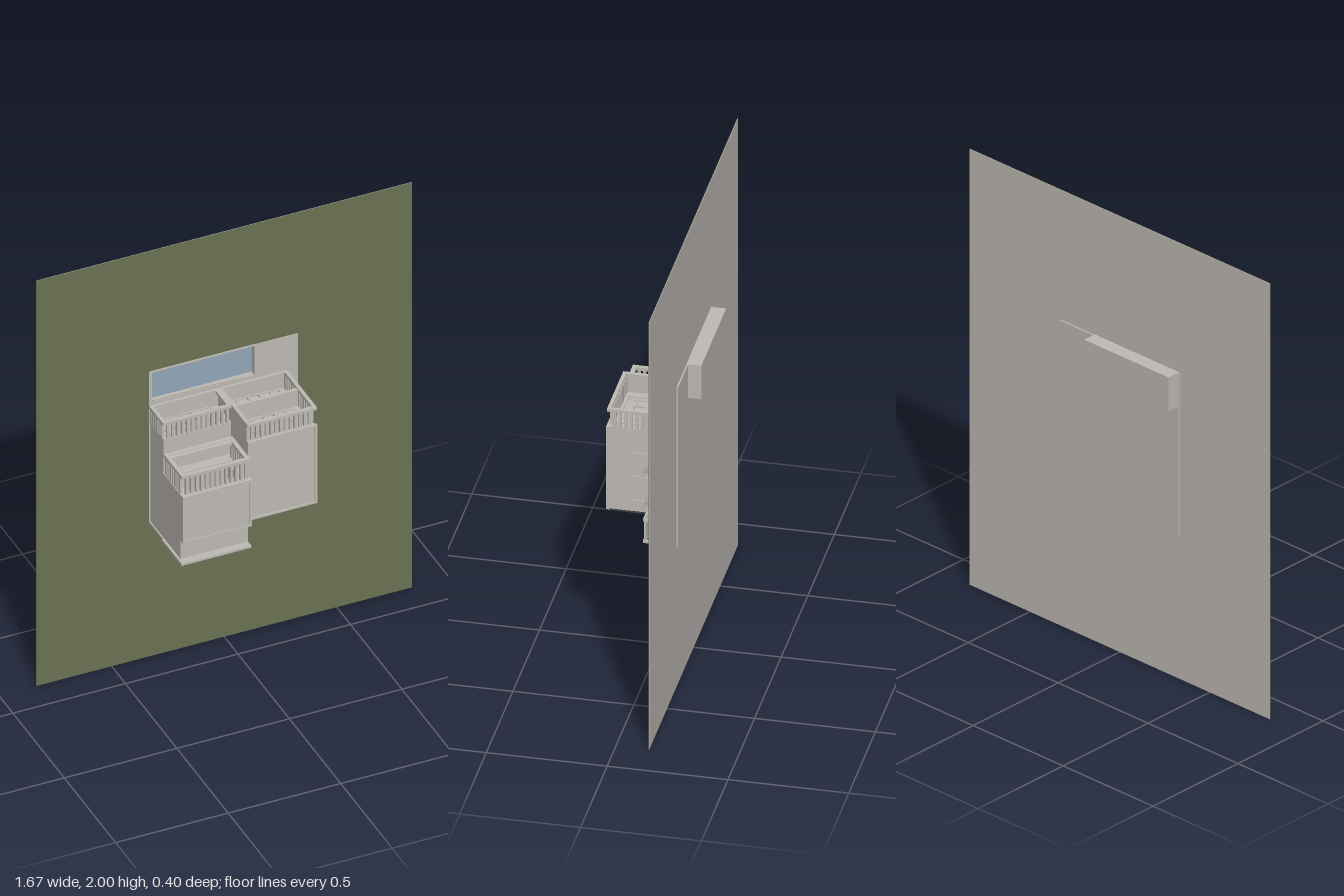
import * as THREE from 'three';

const plaster = new THREE.MeshStandardMaterial({ name: 'warm grey plaster', color: 0xbfbab5 });
const grass = new THREE.MeshStandardMaterial({ name: 'olive grass', color: 0x6c7354 });
const water = new THREE.MeshStandardMaterial({ name: 'pool water', color: 0x93a7b8 });
const foliage = new THREE.MeshStandardMaterial({ name: 'grey foliage', color: 0xbab6b1, side: THREE.DoubleSide });

export function createModel() {
  const root = new THREE.Group();
  const group = (name) => {
    const g = new THREE.Group();
    g.name = name;
    root.add(g);
    return g;
  };
  // Box given by its limits on each axis
  const box = (parent, name, x0, x1, y0, y1, z0, z1, mat = plaster) => {
    const m = new THREE.Mesh(new THREE.BoxGeometry(x1 - x0, y1 - y0, z1 - z0), mat);
    m.position.set((x0 + x1) / 2, (y0 + y1) / 2, (z0 + z1) / 2);
    m.name = name;
    parent.add(m);
  };
  // Rectangular ring in the x-z plane, running from y0 to y1
  const ring = (parent, name, x0, x1, y0, y1, z0, z1, t) => {
    box(parent, name, x0, x0 + t, y0, y1, z0, z1);
    box(parent, name, x1 - t, x1, y0, y1, z0, z1);
    box(parent, name, x0 + t, x1 - t, y0, y1, z0, z0 + t);
    box(parent, name, x0 + t, x1 - t, y0, y1, z1 - t, z1);
  };
  // Row of slats along x (at depth z) or along z (at a given x)
  const slatsX = (parent, x0, x1, y0, y1, z, n) => {
    for (let i = 0; i < n; i++) {
      const x = x0 + (x1 - x0) * (i + 0.5) / n;
      box(parent, 'slat', x - 0.006, x + 0.006, y0, y1, z - 0.006, z + 0.006);
    }
  };
  const slatsZ = (parent, x, y0, y1, z0, z1, n) => {
    for (let i = 0; i < n; i++) {
      const z = z0 + (z1 - z0) * (i + 0.5) / n;
      box(parent, 'slat', x - 0.006, x + 0.006, y0, y1, z - 0.006, z + 0.006);
    }
  };
  // Flat sheet in the x-y plane with a rectangular hole for the pool
  const rect = (S, x0, x1, y0, y1) => {
    const s = new S();
    s.moveTo(x0, y0); s.lineTo(x1, y0); s.lineTo(x1, y1); s.lineTo(x0, y1); s.closePath();
    return s;
  };
  const sheet = (name, x0, x1, y0, y1, z0, depth, mat, hole) => {
    const s = rect(THREE.Shape, x0, x1, y0, y1);
    s.holes.push(rect(THREE.Path, ...hole));
    const m = new THREE.Mesh(new THREE.ExtrudeGeometry(s, { depth, bevelEnabled: false }), mat);
    m.position.z = z0;
    m.name = name;
    root.add(m);
  };

  // Ground: grass in front, plain behind
  const pit = [-0.322, 0.132, 1.258, 1.4];
  sheet('groundBack', -0.835, 0.835, 0, 2, -0.138, 0.002, plaster, pit);
  sheet('groundGrass', -0.835, 0.835, 0, 2, -0.136, 0.002, grass, pit);
  sheet('foundationSlab', -0.335, 0.325, 0.66, 1.405, -0.145, 0.015, plaster, pit);

  // Pool
  const pool = group('pool');
  box(pool, 'poolBasin', -0.33, 0.138, 1.25, 1.407, -0.2, -0.165);
  box(pool, 'poolWall', -0.33, -0.322, 1.25, 1.407, -0.165, -0.129);
  box(pool, 'poolWall', 0.132, 0.138, 1.25, 1.407, -0.165, -0.129);
  box(pool, 'poolWall', -0.322, 0.132, 1.25, 1.258, -0.165, -0.129);
  box(pool, 'poolWall', -0.322, 0.132, 1.4, 1.407, -0.165, -0.129);
  box(pool, 'waterSurface', -0.322, 0.132, 1.258, 1.4, -0.161, -0.155, water);

  // Right-hand block with its slatted loggia
  const east = group('tallBlock');
  box(east, 'blockBody', -0.03, 0.27, 0.77, 1.155, -0.135, 0.157);
  box(east, 'roofEdge', -0.03, 0.278, 1.148, 1.156, 0.15, 0.164);
  box(east, 'roofEdge', -0.03, 0.278, 0.77, 0.778, 0.15, 0.164);
  box(east, 'roofEdge', -0.03, -0.022, 0.778, 1.148, 0.15, 0.164);
  box(east, 'roofEdge', 0.268, 0.278, 0.778, 1.148, 0.15, 0.164);
  box(east, 'partitionWall', -0.03, -0.015, 1.155, 1.235, -0.135, 0.15);
  ring(east, 'loggiaRim', -0.03, 0.278, 1.227, 1.24, -0.135, 0.16, 0.016);
  box(east, 'loggiaFloor', -0.015, 0.265, 1.155, 1.235, -0.005, 0.01);
  slatsX(east, -0.015, 0.262, 1.155, 1.23, 0.145, 13);
  slatsZ(east, 0.268, 1.155, 1.23, -0.13, 0.14, 12);

  // Left-hand block, lower storey
  const west = group('lowBlock');
  box(west, 'lowerStorey', -0.33, -0.03, 0.77, 1.155, -0.135, 0);
  ring(west, 'porchRim', -0.335, -0.03, 1.227, 1.24, -0.135, 0.005, 0.016);
  slatsX(west, -0.32, -0.035, 1.155, 1.23, -0.006, 13);
  slatsZ(west, -0.327, 1.155, 1.23, -0.13, -0.01, 6);

  // Left-hand block, open upper storey
  box(west, 'upperRoof', -0.32, -0.045, 0.77, 0.995, 0.15, 0.195);
  box(west, 'upperFloor', -0.33, -0.03, 0.77, 1.0, 0, 0.045);
  box(west, 'upperWall', -0.335, -0.3, 0.77, 0.995, 0, 0.195);
  box(west, 'upperWall', -0.065, -0.03, 0.77, 0.995, 0, 0.195);
  box(west, 'roofEdge', -0.335, -0.028, 0.987, 0.997, 0.185, 0.2);
  box(west, 'roofEdge', -0.335, -0.028, 0.768, 0.777, 0.185, 0.2);
  box(west, 'roofEdge', -0.335, -0.326, 0.777, 0.987, 0.185, 0.2);
  box(west, 'roofEdge', -0.037, -0.028, 0.777, 0.987, 0.185, 0.2);
  ring(west, 'terraceRim', -0.335, -0.03, 1.078, 1.092, 0.01, 0.187, 0.018);
  box(west, 'terraceBeam', -0.33, -0.035, 1.075, 1.09, 0.01, 0.048);
  slatsX(west, -0.32, -0.035, 0.995, 1.08, 0.178, 13);
  slatsZ(west, -0.327, 0.995, 1.08, 0.015, 0.17, 7);
  slatsZ(west, -0.038, 0.995, 1.08, 0.015, 0.17, 7);

  // Rear loggias
  const rear = group('rearLoggias');
  ring(rear, 'rearUpperRim', -0.34, -0.03, 0.66, 0.67, 0.005, 0.197, 0.035);
  box(rear, 'rearCanopy', -0.33, -0.03, 0.67, 0.77, 0.148, 0.163);
  box(rear, 'rearSideWall', -0.33, -0.31, 0.67, 0.77, 0, 0.15);
  for (const z of [0, 0.14]) box(rear, 'sideWindowFrame', -0.045, -0.03, 0.67, 0.77, z, z + (z ? 0.01 : 0.05));
  box(rear, 'rearLowerSlab', -0.33, 0.28, 0.665, 0.77, -0.015, 0);
  ring(rear, 'rearLowerRim', -0.335, 0.28, 0.66, 0.67, -0.135, 0.005, 0.014);
  for (const x of [-0.33, -0.04, 0.262]) box(rear, 'rearLowerWall', x, x + 0.015, 0.67, 0.77, -0.135, -0.01);

  // Side annex
  const annex = group('sideAnnex');
  ring(annex, 'annexRim', 0.278, 0.327, 0.66, 0.672, -0.135, 0, 0.01);
  ring(annex, 'annexRim', 0.278, 0.327, 0.76, 0.772, -0.135, 0, 0.01);
  box(annex, 'annexRoof', 0.278, 0.322, 0.672, 0.76, -0.012, -0.003);
  box(annex, 'annexBench', 0.285, 0.32, 0.67, 0.71, -0.13, -0.05);

  // Windows and doors: thin frames on the facade
  const windows = group('windows');
  const facade = (x0, x1, z0, z1, d0, d1, dz1) => {
    ring(windows, 'windowFrame', x0, x1, 1.155, 1.16, z0, z1, 0.006);
    ring(windows, 'doorFrame', d0, d1, 1.155, 1.163, z0, dz1, 0.006);
    for (const x of [d0 - 0.05, d1 + 0.045]) box(windows, 'mullion', x, x + 0.005, 1.155, 1.16, z0, z1);
    box(windows, 'transom', x0, d0, 1.155, 1.16, z0 + 0.06, z0 + 0.065);
    box(windows, 'transom', d1, x1, 1.155, 1.16, z0 + 0.06, z0 + 0.065);
  };
  facade(0.02, 0.24, 0.02, 0.13, 0.095, 0.15, 0.09);
  facade(0.02, 0.24, -0.13, -0.02, 0.095, 0.15, -0.05);
  facade(-0.3, -0.06, -0.13, -0.02, -0.205, -0.15, -0.05);
  for (const y of [0.82, 0.93, 1.04]) {
    box(windows, 'sideSill', 0.27, 0.275, y, y + 0.06, 0.02, 0.026);
    box(windows, 'sideSill', 0.27, 0.275, y, y + 0.006, -0.02, 0.06);
  }

  // Palms beside the side wall, growing away from the ground
  const palm = (y, height, spread) => {
    const p = group('palm');
    p.position.set(0.318, y, -0.132);
    const trunk = new THREE.Mesh(new THREE.CylinderGeometry(0.003, 0.007, height, 5), foliage);
    trunk.rotation.x = Math.PI / 2;
    trunk.position.z = height / 2;
    trunk.name = 'palmTrunk';
    p.add(trunk);
    for (let i = 0; i < 8; i++) {
      const a = i * Math.PI / 4, tilt = i % 2 ? 0.5 : -0.35;
      const dir = new THREE.Vector3(Math.cos(a) * 0.8, Math.sin(a), tilt).normalize();
      const leaf = new THREE.Mesh(new THREE.ConeGeometry(spread * 0.13, spread, 4), foliage);
      leaf.quaternion.setFromUnitVectors(new THREE.Vector3(0, 1, 0), dir);
      leaf.position.copy(dir).multiplyScalar(spread / 2);
      leaf.position.z += height;
      leaf.name = 'palmLeaf';
      p.add(leaf);
    }
  };
  palm(1.0, 0.115, 0.04);
  palm(0.85, 0.115, 0.04);
  palm(1.05, 0.06, 0.024);
  for (const y of [0.8, 0.9, 0.94, 1.1]) palm(y, 0.01, 0.014);
  return root;
}
